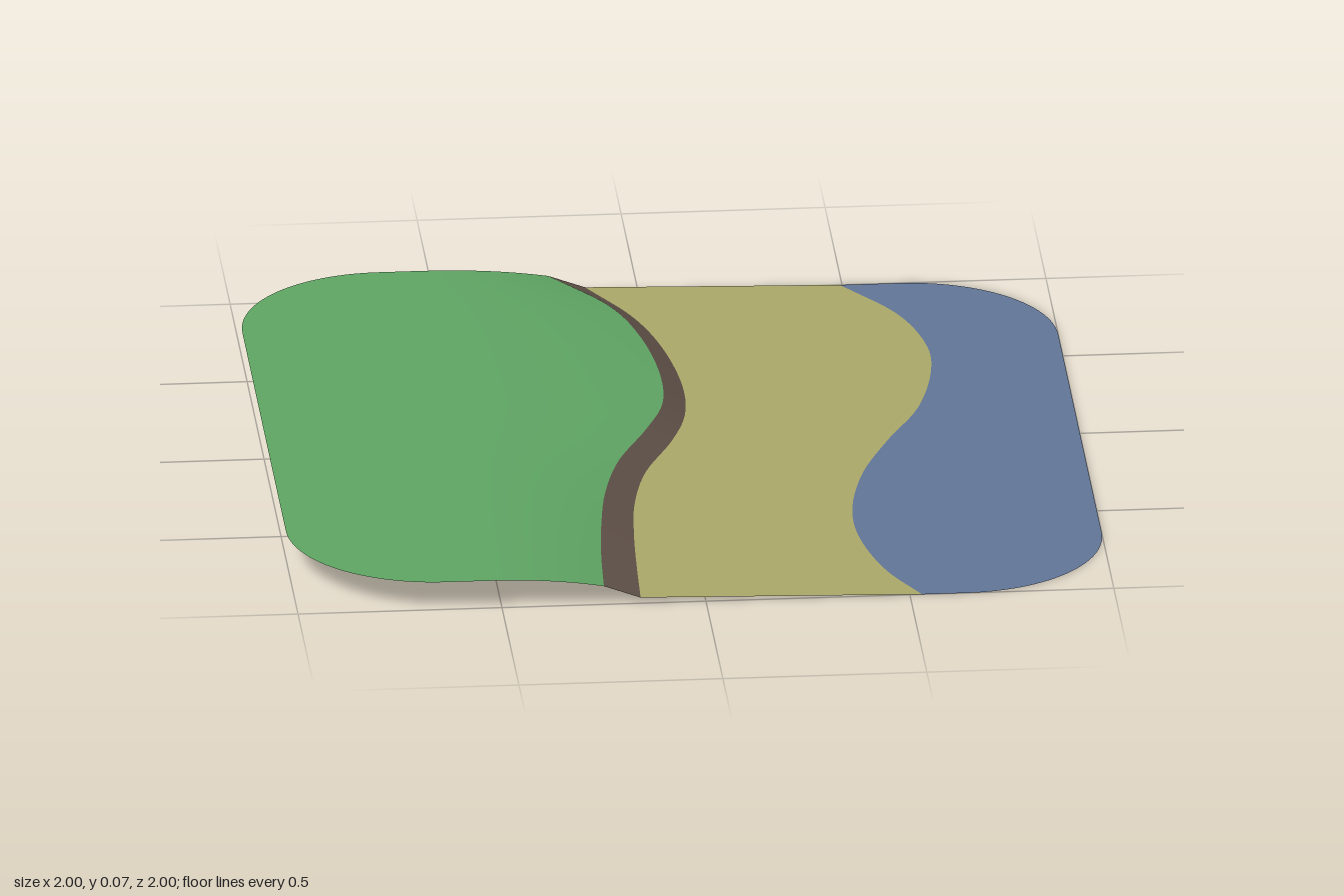
import * as THREE from 'three';

const ROWS = 96;
const CORNER = 0.36;

// Smooth edge line through [z, x] points, read as x for a given z
function edgeLine(points) {
  const curve = new THREE.CatmullRomCurve3(points.map(([z, x]) => new THREE.Vector3(x, 0, z)), false, 'centripetal');
  const samples = curve.getPoints(400);
  return (z) => {
    let i = 1;
    while (i < samples.length - 1 && samples[i].z < z) i++;
    const a = samples[i - 1], b = samples[i];
    const t = THREE.MathUtils.clamp((z - a.z) / (b.z - a.z), 0, 1);
    return a.x + (b.x - a.x) * t;
  };
}

const bankTop = edgeLine([[-1, -0.22], [-0.8, -0.09], [-0.6, -0.03], [-0.33, 0], [-0.15, -0.012], [0, -0.063],
  [0.2, -0.148], [0.4, -0.197], [0.6, -0.223], [0.8, -0.24], [1, -0.25]]);
const bankFoot = edgeLine([[-1, -0.13], [-0.8, -0.03], [-0.6, 0.025], [-0.33, 0.055], [-0.15, 0.043], [0, 0],
  [0.2, -0.082], [0.4, -0.125], [0.6, -0.143], [0.8, -0.153], [1, -0.16]]);
const shore = edgeLine([[-1, 0.495], [-0.8, 0.62], [-0.6, 0.673], [-0.45, 0.673], [-0.2, 0.62], [0, 0.53],
  [0.2, 0.453], [0.4, 0.41], [0.55, 0.402], [0.7, 0.42], [0.85, 0.46], [1, 0.53]]);

// Half-width of the rounded square tile
function outline(z) {
  const d = Math.max(0, Math.abs(z) - (1 - CORNER));
  return 1 - CORNER + Math.sqrt(Math.max(0, CORNER * CORNER - d * d));
}

// Strip of ground between two edge lines; height depends on (t across, x, z)
function strip(name, color, left, right, height, cols) {
  const positions = [], index = [];
  for (let r = 0; r <= ROWS; r++) {
    const z = -Math.cos((r / ROWS) * Math.PI); // rows crowd towards the rounded corners
    for (let c = 0; c <= cols; c++) {
      const t = c / cols;
      const x = THREE.MathUtils.lerp(left(z), right(z), t);
      positions.push(x, height(t, x, z), z);
      if (r < ROWS && c < cols) {
        const a = r * (cols + 1) + c, b = a + cols + 1;
        index.push(a, b, a + 1, b, b + 1, a + 1);
      }
    }
  }
  const geometry = new THREE.BufferGeometry();
  geometry.setAttribute('position', new THREE.Float32BufferAttribute(positions, 3));
  geometry.setIndex(index);
  geometry.computeVertexNormals();
  const mesh = new THREE.Mesh(geometry, new THREE.MeshStandardMaterial({ color, side: THREE.DoubleSide }));
  mesh.name = name;
  return mesh;
}

export function createModel() {
  const group = new THREE.Group();
  group.name = 'riverbankTile';

  // Grass: level, then rounding down to the top of the bank
  const grassHeight = (t, x, z) => {
    const s = Math.max(0, (x + 0.55) / (bankTop(z) + 0.55));
    return 0.072 - 0.024 * Math.pow(s, 2.3);
  };
  group.add(strip('grass', 0x5fa463, (z) => -outline(z), bankTop, grassHeight, 32));

  // Steep earth bank
  group.add(strip('earthBank', 0x63544b, bankTop, bankFoot, (t) => 0.048 - 0.033 * t, 2));

  // Sand sloping gently to the waterline
  group.add(strip('sand', 0xaaa868, bankFoot, shore, (t) => 0.015 * (1 - t), 10));

  // Flat water
  group.add(strip('water', 0x627596, shore, outline, () => 0, 2));

  return group;
}
